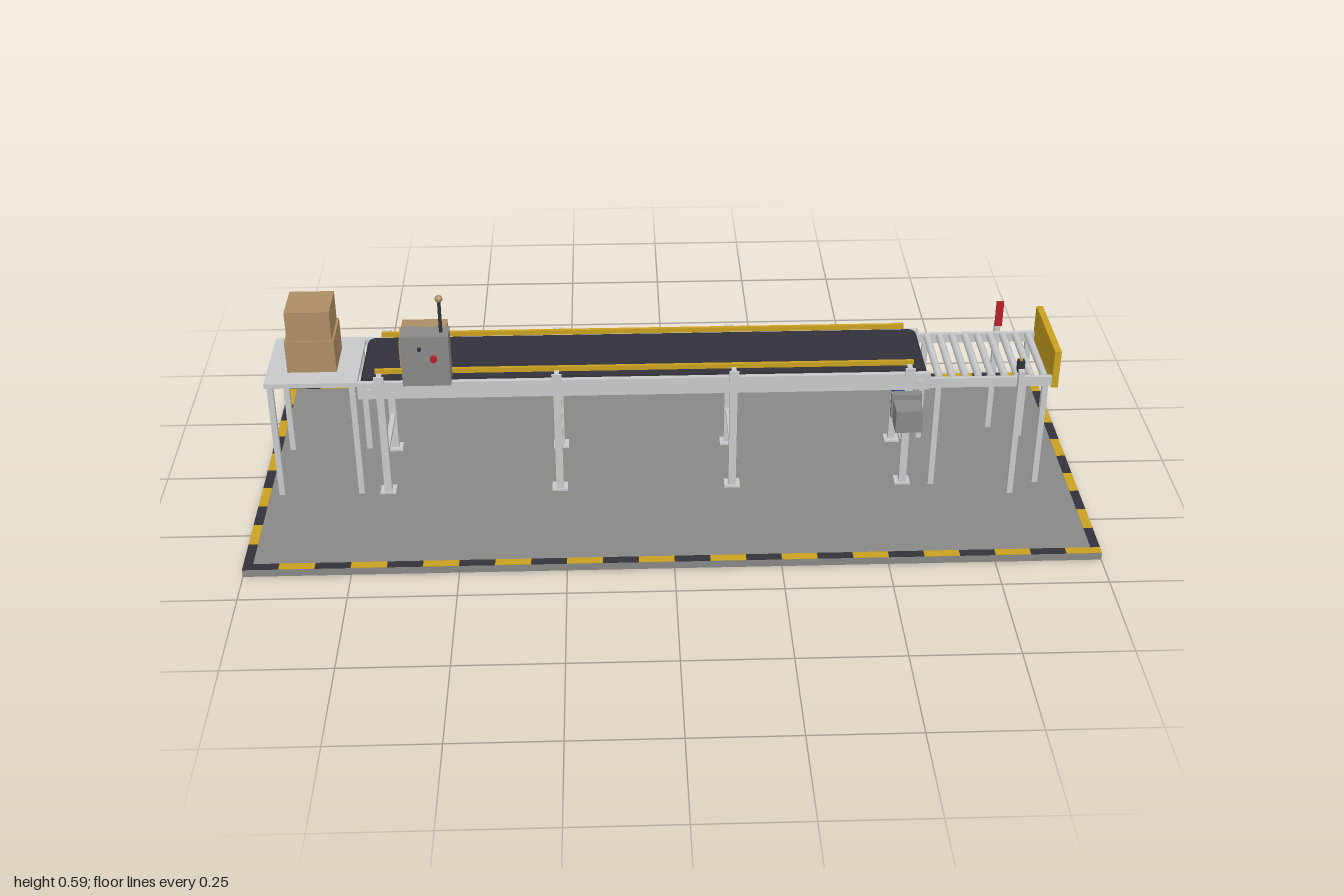
import * as THREE from 'three';

const mat = (name, color) => new THREE.MeshStandardMaterial({ name, color });

export function createModel() {
  const root = new THREE.Group();
  root.name = 'conveyorStation';
  const grey = mat('paintedGrey', 0x878785);
  const steel = mat('lightSteel', 0xc6c8c9);
  const dark = mat('darkRubber', 0x33323a);
  const yellow = mat('safetyYellow', 0xc8a01f);
  const card = mat('cardboard', 0xac8d64);
  const red = mat('signalRed', 0xb5202a);
  const blue = mat('motorBlue', 0x1f5596);

  const add = (name, geo, m, x, y, z) => {
    const mesh = new THREE.Mesh(geo, m);
    mesh.name = name;
    mesh.position.set(x, y, z);
    root.add(mesh);
    return mesh;
  };
  // Box given by its min and max on each axis
  const box = (name, m, x0, x1, y0, y1, z0, z1) =>
    add(name, new THREE.BoxGeometry(x1 - x0, y1 - y0, z1 - z0), m,
      (x0 + x1) / 2, (y0 + y1) / 2, (z0 + z1) / 2);
  // Cylinder lying along z
  const rod = (name, m, r, x, y, z0, z1, sides = 20) => {
    const mesh = add(name, new THREE.CylinderGeometry(r, r, z1 - z0, sides), m, x, y, (z0 + z1) / 2);
    mesh.rotation.x = Math.PI / 2;
    return mesh;
  };

  // Floor slab with hazard border
  const F = 0.019, W = 0.413;
  box('floorSlab', grey, -1, 1, 0, F, -W, W);
  const nx = 24, nz = 10, border = 0.022;
  for (const s of [-1, 1]) {
    for (let i = 0; i < nx; i++) {
      const x = -1 + (2 * i) / nx, z = s * (W - border / 2);
      box('hazardStripe', i % 2 ? yellow : dark, x, x + 2 / nx, F, F + 0.001, z - border / 2, z + border / 2);
    }
    const len = (2 * W - 2 * border) / nz;
    for (let i = 0; i < nz; i++) {
      const z = -W + border + i * len, x = s * (1 - border / 2);
      box('hazardStripe', i % 2 ? dark : yellow, x - border / 2, x + border / 2, F, F + 0.001, z, z + len);
    }
  }

  // Belt loop: a stadium-shaped profile extruded across the conveyor
  const r = 0.022, bx0 = -0.738 + r, bx1 = 0.618 - r;
  const loop = new THREE.Shape();
  loop.moveTo(bx0, -r);
  loop.lineTo(bx1, -r);
  loop.absarc(bx1, 0, r, -Math.PI / 2, Math.PI / 2, false);
  loop.lineTo(bx0, r);
  loop.absarc(bx0, 0, r, Math.PI / 2, Math.PI * 1.5, false);
  add('belt', new THREE.ExtrudeGeometry(loop, { depth: 0.196, bevelEnabled: false, curveSegments: 10 }),
    dark, 0, 0.317, -0.098);

  // Side rails, guides, bearings and leg frames
  const stations = [-0.69, -0.27, 0.152, 0.572];
  for (const s of [-1, 1]) {
    box('sideRail', steel, -0.742, 0.622, 0.291, 0.335, s * 0.105 - 0.006, s * 0.105 + 0.006);
    box('guideRail', yellow, -0.7, 0.582, 0.348, 0.36, s * 0.088 - 0.004, s * 0.088 + 0.004);
    for (const x of [-0.716, 0.596]) rod('bearing', steel, 0.009, x, 0.311, s * 0.113 - 0.004, s * 0.113 + 0.004);
    for (const x of stations) {
      box('guideBracket', steel, x - 0.012, x + 0.012, 0.322, 0.351, s * 0.112 - 0.0025, s * 0.112 + 0.0025);
      box('guideArm', steel, x - 0.006, x + 0.006, 0.347, 0.351, s * 0.1 - 0.013, s * 0.1 + 0.013);
      box('leg', steel, x - 0.009, x + 0.009, F, 0.292, s * 0.1 - 0.009, s * 0.1 + 0.009);
      box('footPlate', steel, x - 0.019, x + 0.019, F, 0.024, s * 0.096 - 0.017, s * 0.096 + 0.017);
    }
  }
  for (const x of stations) box('crossBar', steel, x - 0.006, x + 0.006, 0.113, 0.124, -0.092, 0.092);

  // Infeed table with stacked cartons
  box('tableTop', steel, -0.962, -0.742, 0.324, 0.336, -0.11, 0.11);
  for (const x of [-0.949, -0.755])
    for (const s of [-1, 1])
      box('tableLeg', steel, x - 0.007, x + 0.007, F, 0.325, s * 0.1 - 0.007, s * 0.1 + 0.007);
  box('lowerCarton', card, -0.912, -0.795, 0.336, 0.42, -0.057, 0.057);
  box('upperCarton', card, -0.906, -0.8, 0.42, 0.496, -0.053, 0.053);

  // Carton on the belt with a yellow strap around it
  box('beltCarton', card, -0.643, -0.534, 0.339, 0.413, -0.056, 0.056);
  box('strap', yellow, -0.646, -0.531, 0.339, 0.416, -0.016, 0.016);

  // Outfeed roller bed with end stop
  for (const s of [-1, 1]) {
    box('rollerRail', steel, 0.622, 0.916, 0.296, 0.321, s * 0.107 - 0.005, s * 0.107 + 0.005);
    for (const x of [0.642, 0.9])
      box('rollerLeg', steel, x - 0.007, x + 0.007, F, 0.297, s * 0.106 - 0.007, s * 0.106 + 0.007);
  }
  for (let i = 0; i < 9; i++) rod('roller', steel, 0.009, 0.645 + i * 0.0315, 0.316, -0.103, 0.103, 16);
  box('endStop', yellow, 0.914, 0.93, 0.291, 0.39, -0.113, 0.113);

  // Light sensor and reflector on posts
  box('sensorPost', steel, 0.822, 0.836, F, 0.365, 0.146, 0.16);
  box('sensorHead', dark, 0.821, 0.837, 0.354, 0.384, 0.13, 0.146);
  box('sensorLamp', yellow, 0.826, 0.832, 0.384, 0.387, 0.135, 0.141);
  box('reflectorPost', steel, 0.822, 0.836, F, 0.322, -0.157, -0.143);
  box('reflector', red, 0.82, 0.838, 0.322, 0.39, -0.142, -0.136);

  // Control cabinet with buttons and beacon
  box('controlCabinet', grey, -0.626, -0.514, 0.361, 0.491, 0.118, 0.17);
  rod('stopButton', red, 0.008, -0.55, 0.435, 0.17, 0.179);
  rod('startButton', dark, 0.005, -0.582, 0.46, 0.17, 0.174);
  add('beaconPole', new THREE.CylinderGeometry(0.004, 0.004, 0.08, 12), dark, -0.532, 0.53, 0.145);
  add('beaconBall', new THREE.SphereGeometry(0.009, 20, 14), card, -0.532, 0.578, 0.145);

  // Drive: gearbox, flange, finned motor and fan cover
  box('gearbox', grey, 0.533, 0.597, 0.217, 0.276, 0.133, 0.186);
  box('driveFlange', grey, 0.529, 0.601, 0.226, 0.29, 0.115, 0.133);
  rod('motorBody', blue, 0.023, 0.565, 0.246, 0.06, 0.116);
  for (let i = 0; i < 5; i++) rod('motorFin', blue, 0.026, 0.565, 0.246, 0.064 + i * 0.009, 0.068 + i * 0.009);
  box('terminalBox', blue, 0.551, 0.579, 0.262, 0.287, 0.082, 0.104);
  rod('fanCover', dark, 0.023, 0.565, 0.246, 0.035, 0.06);

  return root;
}
